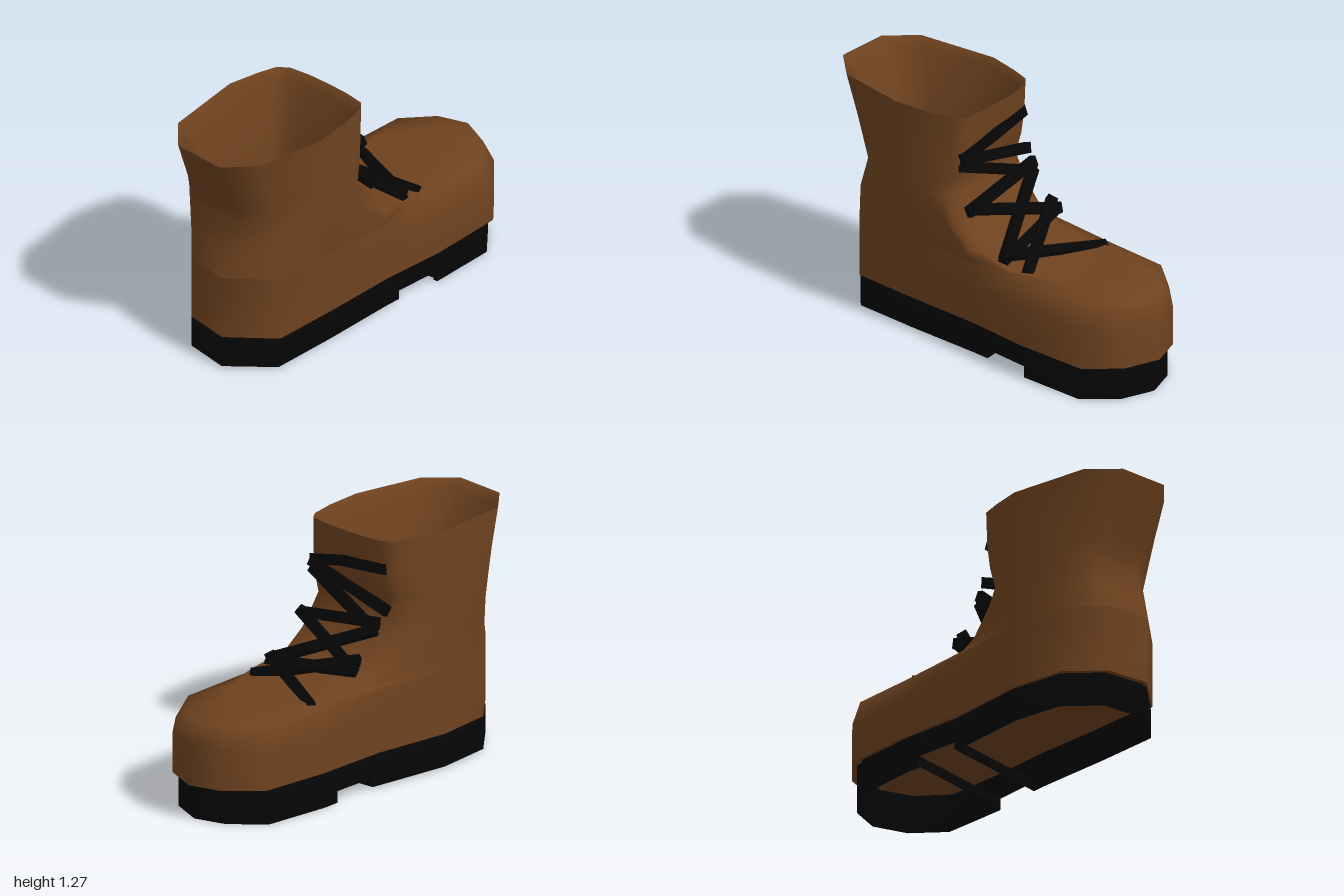
import * as THREE from 'three';

const leather = new THREE.MeshStandardMaterial({ color: 0x6e421f });
leather.name = 'brownLeather';
const rubber = new THREE.MeshStandardMaterial({ color: 0x060606 });
rubber.name = 'blackRubber';

// Plan outlines as [x, z], from the heel round the -z side to the toe and back.
const FOOT = [[-0.92, -0.05], [-0.86, -0.28], [-0.67, -0.42], [-0.36, -0.425], [0.05, -0.335],
  [0.45, -0.3], [0.82, -0.23], [0.96, -0.06], [1, 0.12], [0.91, 0.3], [0.73, 0.425],
  [0.33, 0.38], [0, 0.31], [-0.4, 0.255], [-0.76, 0.195]];
const COLLAR = [[-1, -0.01], [-0.96, -0.29], [-0.8, -0.41], [-0.36, -0.41], [-0.2, -0.355],
  [-0.1, -0.31], [-0.065, -0.25], [-0.06, -0.13], [-0.07, 0], [-0.085, 0.12], [-0.11, 0.22],
  [-0.16, 0.25], [-0.3, 0.265], [-0.5, 0.26], [-0.87, 0.15]];
const clamp = (v) => Math.min(1, Math.max(0, v));

// Collar outline stretched between a back and a front x at height y
const legRing = (y, back, front, widen) => COLLAR.map(([x, z]) => [
  front + (x + 0.06) * (front - back) / 0.94, y, -0.07 + (z + 0.07) * widen]);
// Foot outline with its toe pulled back to the given x and narrowed
const footRing = (y, toeX = 1, narrow = 1) => FOOT.map(([x, z]) => {
  const k = 1 - (1 - narrow) * clamp(x * 2);
  return [x > 0 ? x * toeX : x, y, -0.05 + (z + 0.05) * k];
});
const instep = footRing(0.545, 0.34, 0.78), ankle = legRing(0.83, -0.82, -0.14, 1.06);
// Between instep and ankle: the heel rises evenly, the front follows its own curve
const shinRing = (y, frontShare) => instep.map((p, i) => {
  const even = (y - 0.545) / 0.285;
  const t = even + (frontShare - even) * clamp(FOOT[i][0] * 2 + 0.2);
  return [p[0] + (ankle[i][0] - p[0]) * t, y, p[2] + (ankle[i][2] - p[2]) * t];
});
const centre = (ring) => {
  const c = [0, 1, 2].map((k) => ring.reduce((s, p) => s + p[k], 0) / ring.length);
  return ring.map(() => c);
};

// Closed rings joined by quads; faces point outward when rings run upward
function loft(rings) {
  const n = rings[0].length, index = [];
  for (let i = 0; i < rings.length - 1; i++) {
    for (let j = 0; j < n; j++) {
      const a = i * n + j, b = i * n + (j + 1) % n;
      index.push(a, a + n, b, b, a + n, b + n);
    }
  }
  const g = new THREE.BufferGeometry();
  g.setAttribute('position', new THREE.Float32BufferAttribute(rings.flat(2), 3));
  g.setIndex(index);
  g.computeVertexNormals();
  return g;
}

// Flat strap between two points; it lies flatter the further it is down the instep
function strap(from, to) {
  const a = new THREE.Vector3(...from), b = new THREE.Vector3(...to);
  const dir = b.clone().sub(a), length = dir.length();
  dir.normalize();
  const slope = 0.3 + 6 * Math.max(0, (a.x + b.x) / 2);
  const across = new THREE.Vector3(1, slope, 0).cross(dir).normalize();
  const out = dir.clone().cross(across);
  const g = new THREE.BoxGeometry(length, 0.055, 0.035);
  g.applyMatrix4(new THREE.Matrix4().makeBasis(dir, across, out)
    .setPosition(a.add(b).multiplyScalar(0.5)));
  return g;
}

export function createModel() {
  const group = new THREE.Group();
  const add = (name, geometry, material, parent = group) => {
    const mesh = new THREE.Mesh(geometry, material);
    mesh.name = name;
    parent.add(mesh);
  };

  // Leather upper: toe box, instep, ankle and shaft
  const base = footRing(0.19), collar = legRing(1.27, -1, -0.06, 1);
  add('upper', loft([base, footRing(0.4), footRing(0.52, 0.96, 0.88),
    footRing(0.543, 0.72, 0.66), instep, shinRing(0.585, 0.48), shinRing(0.68, 0.74), ankle,
    legRing(0.95, -0.87, -0.1, 1.04), legRing(1.08, -0.922, -0.075, 1.02), collar]), leather);
  add('underside', loft([centre(base), base]), leather);

  // Lining narrows to the throat, with a dark insole at the bottom
  const floor = legRing(0.2, -0.75, -0.23, 0.56);
  add('lining', loft([collar, legRing(1.23, -0.95, -0.1, 0.92),
    legRing(0.8, -0.75, -0.23, 0.56), floor]), leather);
  add('insole', loft([floor, centre(floor)]), rubber);

  // Hollow sole wall, with the arch cut up between heel and forefoot
  const low = 0.015, toe = 0.003, arch = 0.065;
  const edge = FOOT.map(([x, z]) => [
    x > 0 ? x * 0.965 : x, x > 0.3 ? toe : low, z > 0 ? z * 0.95 : z]);
  edge[11] = [0.36, toe, 0.362];
  edge.splice(12, 0, [0.345, toe, 0.36], [0.345, arch, 0.36], [0.09, arch, 0.31], [0.09, low, 0.31]);
  edge.splice(5, 0, [0.09, low, -0.325], [0.09, arch, -0.325], [0.345, arch, -0.305], [0.345, toe, -0.305]);
  const shrink = (k, height) => edge.map(([x, y, z]) => [
    Math.abs(x) > 0.37 ? x * k : x, height ?? y, z * (k - 0.01)]);
  add('sole', loft([shrink(0.95, 0.19), shrink(0.95), edge,
    edge.map(([x, , z]) => [x, 0.165, z]), shrink(0.97, 0.165), shrink(0.97, 0.19)]), rubber);

  // Step faces at either end of the arch
  for (const [x, right, left] of [[0.085, -0.31, 0.295], [0.35, -0.29, 0.345]]) {
    const g = new THREE.BoxGeometry(0.01, 0.05, left - right);
    g.translate(x, 0.04, (left + right) / 2);
    add('archStep', g, rubber);
  }

  // Crossed laces down the front
  const laces = new THREE.Group();
  laces.name = 'laces';
  group.add(laces);
  const runs = [
    [[-0.085, 1.115, -0.27], [-0.07, 1.105, 0]], [[-0.07, 1.105, 0], [-0.12, 1.04, 0.235]],
    [[-0.11, 1.04, 0.235], [-0.07, 0.9, -0.29]], [[-0.12, 1, 0.235], [-0.01, 0.8, -0.26]],
    [[-0.02, 0.85, -0.27], [-0.06, 0.77, 0.26]], [[-0.04, 0.79, 0.25], [0.15, 0.64, -0.25]],
    [[-0.02, 0.81, -0.26], [0.17, 0.58, 0.28]], [[0.1, 0.68, -0.25], [0.31, 0.54, 0.28]],
    [[0.13, 0.63, -0.25], [0.17, 0.57, 0.29]], [[0.45, 0.53, -0.22], [0.16, 0.6, 0.28]]];
  for (const [from, to] of runs) add('lace', strap(from, to), rubber, laces);

  return group;
}
